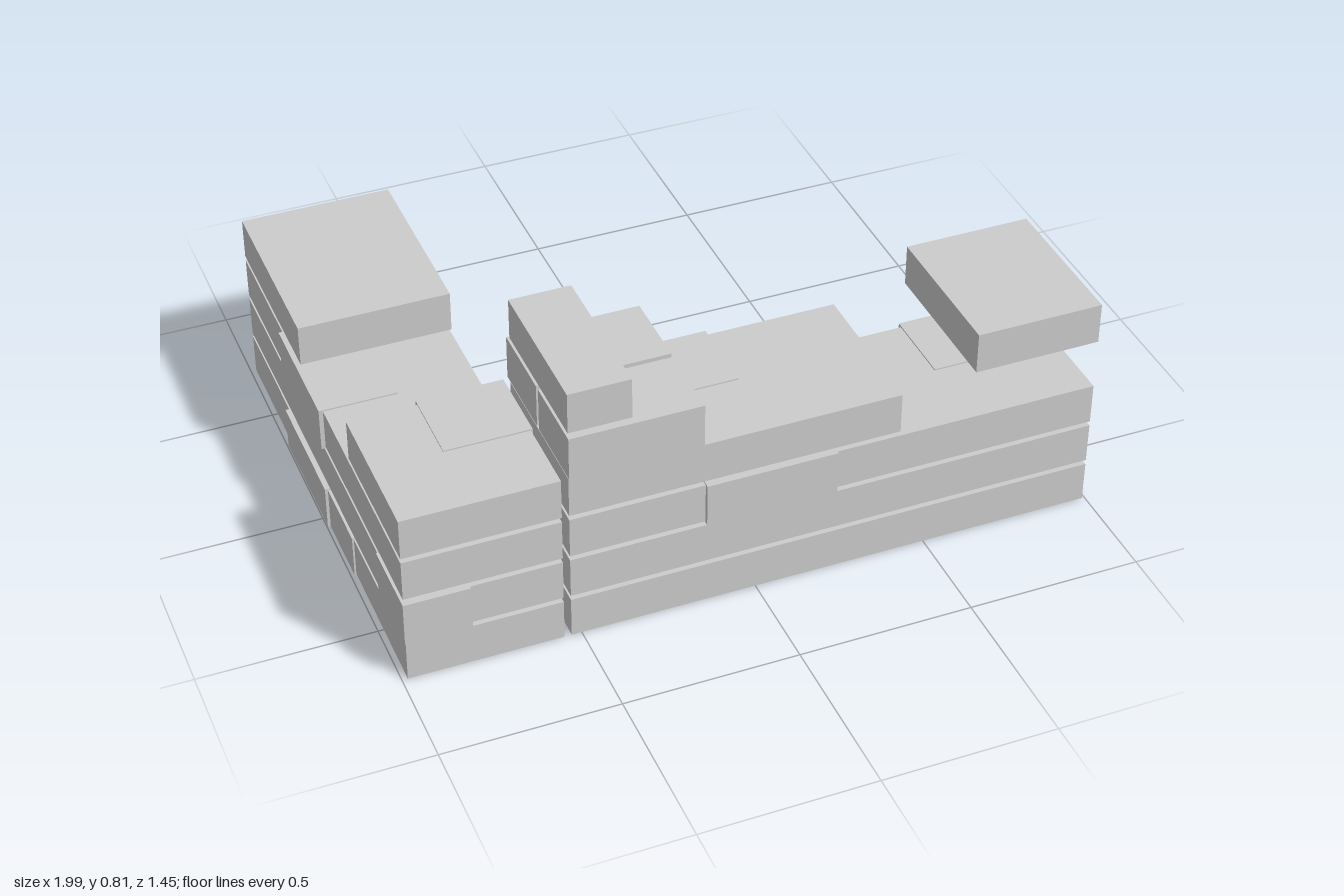
import * as THREE from 'three';

export function createModel() {
  const root = new THREE.Group();
  root.name = 'ruinedBrickCorner';
  const stone = new THREE.MeshStandardMaterial({ color: 0xcccccc });
  stone.name = 'pale grey stone';

  const PITCH = 0.136; // course height including the mortar gap
  const BASE = 0.005;
  const HEIGHT = 0.122;

  // One block in a course, given by its x and z limits; grow thickens it vertically
  function block(parent, name, course, x0, x1, z0, z1, grow = 0) {
    const h = HEIGHT + 2 * grow;
    const mesh = new THREE.Mesh(new THREE.BoxGeometry(x1 - x0, h, z1 - z0), stone);
    mesh.position.set((x0 + x1) / 2, BASE + course * PITCH + HEIGHT / 2, (z0 + z1) / 2);
    mesh.name = name;
    parent.add(mesh);
  }

  function group(name) {
    const g = new THREE.Group();
    g.name = name;
    root.add(g);
    return g;
  }

  // Long front wall: full courses, then the broken top
  const front = group('frontWall');
  for (let i = 0; i < 3; i++) block(front, 'frontCourse', i, -0.53, 0.99, 0.27, 0.708);
  block(front, 'brokenFrontCourse', 3, -0.53, 0.41, 0.27, 0.708);
  block(front, 'topHalfBrick', 5, -0.53, -0.355, 0.275, 0.71);
  block(front, 'looseUpperBlock', 4, 0.625, 0.99, 0.27, 0.708);

  // Side wing with the corner pier
  const wing = group('sideWing');
  for (let i = 0; i < 3; i++) block(wing, 'wingCourse', i, -0.985, -0.55, -0.722, 0.708);
  block(wing, 'wingEndBlock', 3, -0.985, -0.55, -0.722, -0.168);
  block(wing, 'cornerTopBlock', 3, -0.985, -0.55, 0.272, 0.708);

  // Single bricks standing slightly proud: course, x limits, z limits
  const proud = group('proudBricks');
  [
    [0, -0.53, -0.16, 0.257, 0.485],
    [0, -0.997, -0.775, -0.345, 0.037],
    [0, -0.99, -0.61, 0.042, 0.262],
    [1, 0.04, 0.415, 0.257, 0.485],
    [1, -0.99, -0.805, 0.497, 0.72],
    [1, -0.755, -0.533, -0.727, -0.55],
    [1, -0.755, -0.533, -0.152, 0.225],
    [2, -0.15, 0.225, 0.497, 0.72],
    [2, 0.62, 0.997, 0.257, 0.485],
    [2, -0.997, -0.775, -0.345, 0.037],
    [3, -0.345, 0.035, 0.257, 0.485],
    [3, -0.79, -0.545, 0.257, 0.485],
    [4, -0.533, -0.16, 0.5, 0.722],
    [4, -0.533, -0.157, 0.257, 0.485],
  ].forEach((b) => block(proud, 'proudBrick', ...b, 0.004));

  return root;
}
